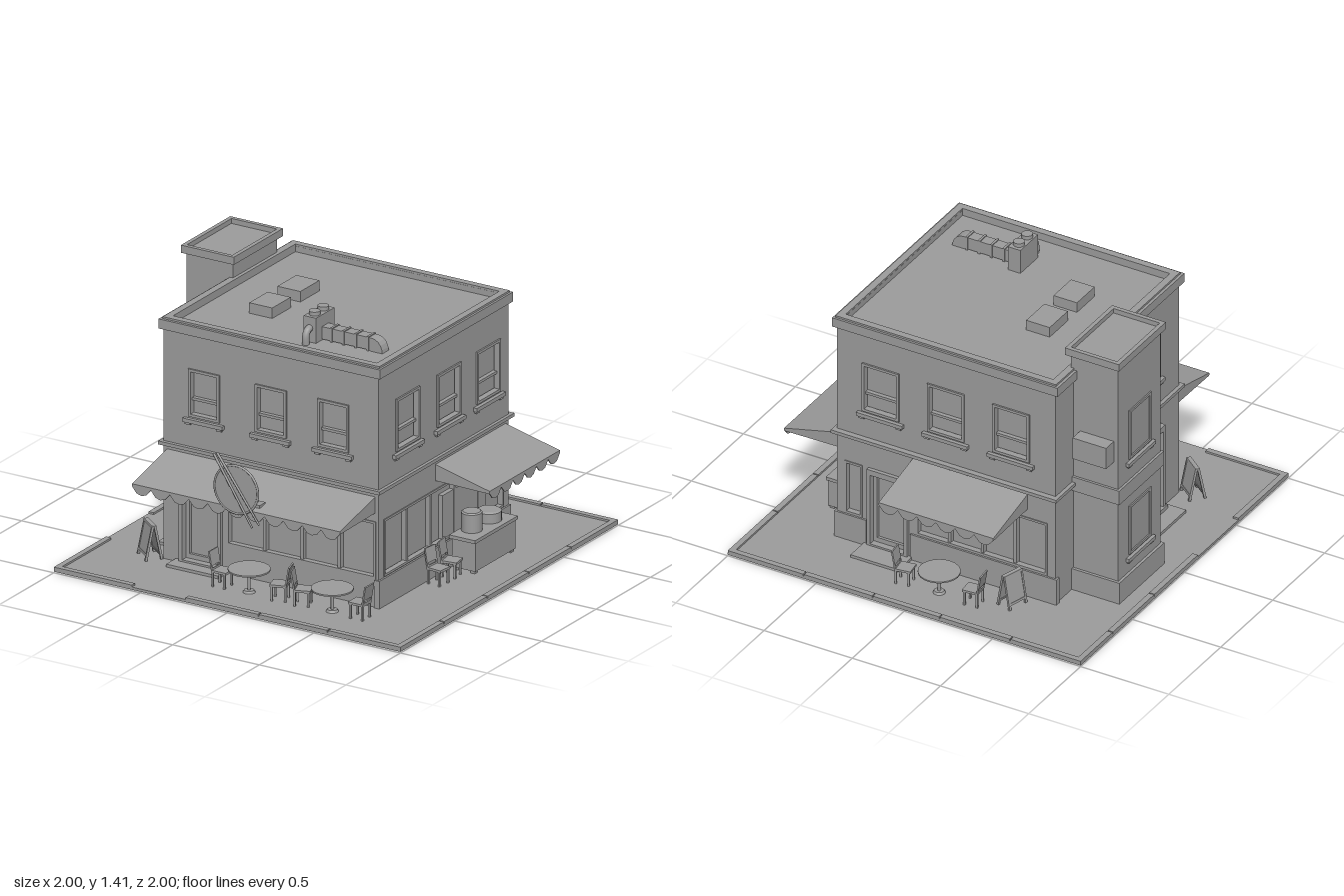
import * as THREE from 'three';

const mat = new THREE.MeshStandardMaterial({ color: 0x9d9d9d, flatShading: true });
const smooth = new THREE.MeshStandardMaterial({ color: 0x9d9d9d });

function add(parent, name, geo, x = 0, y = 0, z = 0, m = mat) {
  const mesh = new THREE.Mesh(geo, m);
  mesh.name = name;
  mesh.position.set(x, y, z);
  parent.add(mesh);
  return mesh;
}
// box given by its min and max on every axis
function box(parent, name, x0, x1, y0, y1, z0, z1) {
  return add(parent, name, new THREE.BoxGeometry(x1 - x0, y1 - y0, z1 - z0), (x0 + x1) / 2, (y0 + y1) / 2, (z0 + z1) / 2);
}
function cyl(parent, name, r0, r1, h, x, y, z, n = 24) {
  return add(parent, name, new THREE.CylinderGeometry(r0, r1, h, n), x, y, z, smooth);
}
function group(parent, name, x = 0, y = 0, z = 0, ry = 0) {
  const g = new THREE.Group();
  g.name = name;
  g.position.set(x, y, z);
  g.rotation.y = ry;
  parent.add(g);
  return g;
}
const rect = (x0, x1, y0, y1, T = THREE.Shape) =>
  new T([[x0, y0], [x1, y0], [x1, y1], [x0, y1]].map(p => new THREE.Vector2(...p)));
// flat panel [x0, x1, y0, y1] with rectangular openings, thickness d
function panel(outer, holes, d) {
  const s = rect(...outer);
  s.holes = holes.map(h => rect(...h, THREE.Path));
  return new THREE.ExtrudeGeometry(s, { depth: d, bevelEnabled: false });
}
// horizontal rectangular ring
function ring(parent, name, x0, x1, z0, z1, t, y0, y1) {
  const g = panel([x0, x1, -z1, -z0], [[x0 + t, x1 - t, -z1 + t, -z0 - t]], y1 - y0).rotateX(-Math.PI / 2);
  return add(parent, name, g, 0, y0, 0);
}

// sash window standing on the wall surface (local z = 0)
function sashWindow(parent, cx, y0, y1, hw) {
  const g = group(parent, 'window', cx);
  add(g, 'windowFrame', panel([-hw, hw, y0, y1], [[-hw + 0.014, hw - 0.014, y0 + 0.014, y1 - 0.014]], 0.033), 0, 0, -0.024);
  const mid = y0 + (y1 - y0) * 0.36;
  box(g, 'meetingRail', -hw, hw, mid - 0.007, mid + 0.007, -0.03, -0.008);
  box(g, 'sill', -hw - 0.025, hw + 0.025, y0 - 0.03, y0 - 0.01, -0.01, 0.02);
  for (const s of [-1, 1]) box(g, 'sillBracket', s * hw - 0.015, s * hw + 0.015, y0 - 0.042, y0 - 0.03, -0.01, 0.014);
}
// shop window: frame plus evenly spaced mullions
function shopWindow(parent, x0, x1, n) {
  add(parent, 'shopWindowFrame', panel([x0, x1, 0.17, 0.47], [[x0 + 0.012, x1 - 0.012, 0.182, 0.458]], 0.03), 0, 0, -0.025);
  for (let i = 1; i < n; i++) {
    const x = x0 + (x1 - x0) * i / n;
    box(parent, 'mullion', x - 0.008, x + 0.008, 0.17, 0.47, -0.03, -0.003);
  }
}
function door(parent, x0, x1, top, out) {
  add(parent, 'doorFrame', panel([x0, x1, 0.02, top], [[x0 + 0.02, x1 - 0.02, 0.045, top - 0.03]], 0.03 + out), 0, 0, -0.03);
  add(parent, 'doorLeaf', panel([x0 + 0.02, x1 - 0.02, 0.045, top - 0.03], [[x0 + 0.04, x1 - 0.04, 0.07, top - 0.05]], 0.015), 0, 0, -0.03);
}
// wedge awning reaching d outwards, with a scalloped valance
function awning(parent, x0, x1, lobes, d) {
  const w = x1 - x0, g = group(parent, 'awning');
  const side = new THREE.Shape([[0, 0.6], [0, 0.515], [d, 0.51], [d, 0.525]].map(p => new THREE.Vector2(...p)));
  add(g, 'awningRoof', new THREE.ExtrudeGeometry(side, { depth: w, bevelEnabled: false }).rotateY(-Math.PI / 2), x1, 0, 0);
  const v = new THREE.Shape(), p = w / lobes;
  v.moveTo(x1, 0.525).lineTo(x0, 0.525).lineTo(x0, 0.512);
  for (let i = 0; i < lobes; i++) {
    const x = x0 + i * p;
    v.lineTo(x + p * 0.25, 0.48).lineTo(x + p * 0.5, 0.472).lineTo(x + p * 0.75, 0.48).lineTo(x + p, 0.512);
  }
  add(g, 'awningValance', new THREE.ExtrudeGeometry(v, { depth: 0.006, bevelEnabled: false }), 0, 0, d - 0.004);
}
// one facade: wall with openings, sash windows; returns its group (local z points outwards)
function facade(root, name, ry, dist, half, windows, hw, y0, y1, openings) {
  const g = group(root, name, Math.sin(ry) * dist, 0, Math.cos(ry) * dist, ry);
  const holes = windows.map(c => [c - hw, c + hw, y0, y1]).concat(openings);
  add(g, 'wall', panel([-half, half, 0.015, 1.25], holes, 0.035), 0, 0, -0.035);
  windows.forEach(c => sashWindow(g, c, y0, y1, hw));
  return g;
}
function table(root, x, z) {
  const g = group(root, 'table', x, 0.02, z);
  cyl(g, 'tableTop', 0.105, 0.105, 0.008, 0, 0.12, 0);
  cyl(g, 'tablePost', 0.008, 0.008, 0.12, 0, 0.06, 0, 10);
  cyl(g, 'tableFoot', 0.025, 0.04, 0.028, 0, -0.002, 0, 16);
}
function chair(root, x, z, ry) {
  const g = group(root, 'chair', x, 0.02, z, ry);
  box(g, 'seat', -0.04, 0.04, 0.075, 0.087, -0.04, 0.045);
  for (const sx of [-1, 1]) for (const sz of [-1, 1])
    box(g, 'chairLeg', sx * 0.033 - 0.005, sx * 0.033 + 0.005, -0.016, 0.08, sz * 0.034 - 0.005, sz * 0.034 + 0.005);
  const b = add(g, 'chairBack', panel([-0.04, 0.04, 0, 0.1], [[-0.03, 0.03, 0.012, 0.025]], 0.008), 0, 0.082, -0.04);
  b.rotation.x = -0.17;
}
function boardSign(root, x, z, ry) {
  const g = group(root, 'pavementSign', x, 0.02, z, ry);
  for (const s of [-1, 1]) {
    const leaf = group(g, 'signLeaf', 0, 0.182, s * 0.005);
    leaf.rotation.x = -s * 0.2;
    box(leaf, 'signBoard', -0.052, 0.052, -0.15, -0.01, -0.003, 0.003);
    add(leaf, 'signFrame', panel([-0.06, 0.06, -0.16, 0], [[-0.05, 0.05, -0.148, -0.012]], 0.012), 0, 0, -0.006);
    for (const k of [-1, 1]) box(leaf, 'signLeg', k * 0.054 - 0.006, k * 0.054 + 0.006, -0.183, -0.155, -0.006, 0.006);
  }
}

export function createModel() {
  const root = new THREE.Group();
  root.name = 'cornerRestaurant';
  const PI = Math.PI;

  // pavement and curb, with gaps at the crossings
  box(root, 'pavement', -1, 1, 0.006, 0.02, -1, 1);
  const cuts = [-1, -0.6, -0.2, 0.18, 0.57, 1];
  for (let i = 0; i < 5; i++) {
    const a = cuts[i] + 0.003, b = cuts[i + 1] - 0.003;
    box(root, 'curb', a, b, 0.01, 0.03, -1, -0.97);
    box(root, 'curb', 0.97, 1, 0.01, 0.03, -b, -a);
  }
  for (const [a, b] of [[-1, -0.55], [-0.24, 0.177], [0.183, 0.577], [0.583, 1]]) box(root, 'curb', a, b, 0.01, 0.03, 0.97, 1);
  for (const [a, b] of [[-1, -0.693], [-0.687, -0.293], [-0.287, 0.13], [0.52, 1]]) box(root, 'curb', -1, -0.97, 0.01, 0.03, a, b);

  // main block: inner core and four facades
  box(root, 'core', -0.59, 0.59, 0.015, 1.25, -0.565, 0.565);
  const front = facade(root, 'frontFacade', 0, 0.595, 0.62, [-0.385, 0, 0.36], 0.09, 0.8, 1.05,
    [[-0.52, -0.28, 0.02, 0.47], [-0.255, 0.605, 0.17, 0.47]]);
  door(front, -0.52, -0.28, 0.47, 0.022);
  shopWindow(front, -0.255, 0.605, 4);
  awning(front, -0.6, 0.6, 11, 0.322);
  box(front, 'doorStep', -0.55, -0.25, 0, 0.035, -0.01, 0.09);

  const left = facade(root, 'leftFacade', PI / 2, 0.62, 0.56, [-0.333, 0.045, 0.408], 0.108, 0.79, 1.065,
    [[-0.55, 0.55, 0.17, 0.47]]);
  shopWindow(left, -0.55, 0.55, 5);
  awning(left, -0.075, 0.57, 6, 0.312);
  box(left, 'servingBoard', 0, 0.4, 0.17, 0.41, -0.03, -0.005);

  const back = facade(root, 'backFacade', PI, 0.595, 0.62, [-0.37, 0, 0.37], 0.105, 0.79, 1.065,
    [[-0.44, -0.21, 0.02, 0.47], [-0.575, -0.475, 0.17, 0.47], [-0.17, 0.575, 0.17, 0.47]]);
  door(back, -0.44, -0.21, 0.47, 0.02);
  shopWindow(back, -0.575, -0.475, 1);
  shopWindow(back, -0.17, 0.575, 4);
  awning(back, -0.19, 0.46, 6, 0.327);
  box(back, 'doorStep', -0.46, -0.19, 0, 0.035, -0.01, 0.14);

  const right = facade(root, 'rightFacade', -PI / 2, 0.62, 0.56, [0.3], 0.105, 0.79, 1.065, [[0.17, 0.41, 0.02, 0.5]]);
  door(right, 0.17, 0.41, 0.52, 0.032);
  box(right, 'doorStep', 0.13, 0.45, 0, 0.035, -0.01, 0.125);
  box(right, 'upperStep', 0.16, 0.42, 0.03, 0.055, -0.01, 0.04);

  // plinth, belt course and cornice
  box(left, 'plinth', -0.605, 0.605, 0.015, 0.165, -0.02, 0.01);
  box(back, 'plinth', -0.63, -0.45, 0.015, 0.165, -0.02, 0.01);
  box(back, 'plinth', -0.2, 0.63, 0.015, 0.165, -0.02, 0.01);
  ring(root, 'beltCourse', -0.64, 0.637, -0.625, 0.615, 0.045, 0.622, 0.64);
  ring(root, 'cornice', -0.64, 0.637, -0.612, 0.612, 0.05, 1.23, 1.28);
  ring(root, 'parapet', -0.625, 0.625, -0.6, 0.597, 0.037, 1.24, 1.29);

  // stair tower
  const tower = group(root, 'tower');
  box(tower, 'towerShaft', -0.875, -0.607, 0, 1.385, -0.425, -0.02);
  box(tower, 'towerPlinth', -0.89, -0.61, 0, 0.14, -0.44, -0.005);
  box(tower, 'towerBand', -0.888, -0.61, 0.59, 0.67, -0.438, -0.007);
  ring(tower, 'towerCap', -0.893, -0.588, -0.45, 0.003, 0.022, 1.37, 1.41);
  const towerSide = group(tower, 'towerWindows', -0.873, 0, -0.22, -PI / 2);
  for (const y of [0.79, 0.24]) sashWindow(towerSide, 0, y, y + 0.28, 0.105);
  box(tower, 'airConditioner', -0.85, -0.66, 0.82, 0.94, -0.5, -0.42);

  // roof equipment
  box(root, 'skylight', -0.345, -0.212, 1.24, 1.305, -0.185, -0.01);
  box(root, 'skylight', -0.345, -0.212, 1.24, 1.305, 0.078, 0.248);
  const vent = group(root, 'ventilation');
  box(vent, 'ventBox', 0.074, 0.145, 1.24, 1.382, 0.245, 0.415);
  for (const z of [0.29, 0.37]) cyl(vent, 'ventCap', 0.028, 0.028, 0.02, 0.109, 1.392, z);
  const elbow = new THREE.CatmullRomCurve3([[0.4, 1.325], [0.435, 1.32], [0.45, 1.295], [0.45, 1.24]].map(p => new THREE.Vector3(0.109, p[1], p[0])));
  add(vent, 'ventElbow', new THREE.TubeGeometry(elbow, 12, 0.018, 12), 0, 0, 0, smooth);
  const duct = new THREE.Shape();
  duct.moveTo(0.13, 1.255).lineTo(0.13, 1.32).lineTo(0.43, 1.32).quadraticCurveTo(0.49, 1.315, 0.495, 1.24).lineTo(0.43, 1.24).lineTo(0.42, 1.255);
  add(vent, 'duct', new THREE.ExtrudeGeometry(duct, { depth: 0.06, bevelEnabled: false, curveSegments: 5 }), 0, 0, 0.3);
  for (const x of [0.2, 0.27, 0.34, 0.41]) box(vent, 'ductFlange', x - 0.006, x + 0.006, 1.25, 1.325, 0.296, 0.364);

  // round hanging sign with a pair of sticks
  const sign = group(root, 'roundSign', 0.007, 0.625, 0.927);
  cyl(sign, 'signDisc', 0.122, 0.122, 0.006, 0, 0, 0, 40).rotation.x = PI / 2;
  add(sign, 'signRim', new THREE.TorusGeometry(0.125, 0.006, 8, 40), 0, 0, 0, smooth);
  for (const s of [-1, 1]) {
    const stick = cyl(sign, 'stick', 0.007, 0.005, 0.41, s * 0.015, s * 0.008, 0.006, 8);
    stick.rotation.z = 0.6 + s * 0.03;
    const arm = add(sign, 'signArm', new THREE.BoxGeometry(0.014, 0.014, 0.11), s * 0.07, -0.04, -0.055);
    arm.rotation.x = -1.05;
  }
  box(sign, 'signMount', -0.11, 0.11, -0.09, -0.075, -0.095, -0.04);
  box(sign, 'signBar', -0.1, 0.1, 0.0, 0.016, -0.045, -0.002);

  // food counter with pots
  box(root, 'counter', 0.65, 0.785, 0.035, 0.19, -0.4, -0.03);
  box(root, 'counterTop', 0.64, 0.79, 0.185, 0.203, -0.412, -0.02);
  for (const x of [0.67, 0.765]) for (const z of [-0.38, -0.05]) box(root, 'counterFoot', x - 0.012, x + 0.012, 0.002, 0.04, z - 0.012, z + 0.012);
  for (const [r, h, z] of [[0.052, 0.098, -0.137], [0.062, 0.053, -0.297]]) {
    cyl(root, 'pot', r, r, h, 0.697, 0.2 + h / 2, z);
    cyl(root, 'potLid', r * 0.85, r, 0.006, 0.697, 0.203 + h, z);
  }

  // outdoor seating (x, z, then x and turn of both chairs) and pavement signs
  for (const [x, z, a, ta, b, tb] of [
    [-0.03, 0.75, -0.185, 0, 0.15, 0.3],
    [0.45, 0.75, 0.28, 0.35, 0.61, 0],
    [-0.075, -0.79, -0.27, 0.1, 0.12, 0.15]]) {
    table(root, x, z);
    chair(root, a, z, PI / 2 + ta);
    chair(root, b, z, -PI / 2 + tb);
  }
  chair(root, 0.69, 0.16, PI / 2 - 0.1);
  chair(root, 0.69, 0.04, PI / 2 + 0.15);
  boardSign(root, -0.69, 0.61, -0.66);
  boardSign(root, -0.435, -0.7, 1.3);
  return root;
}
